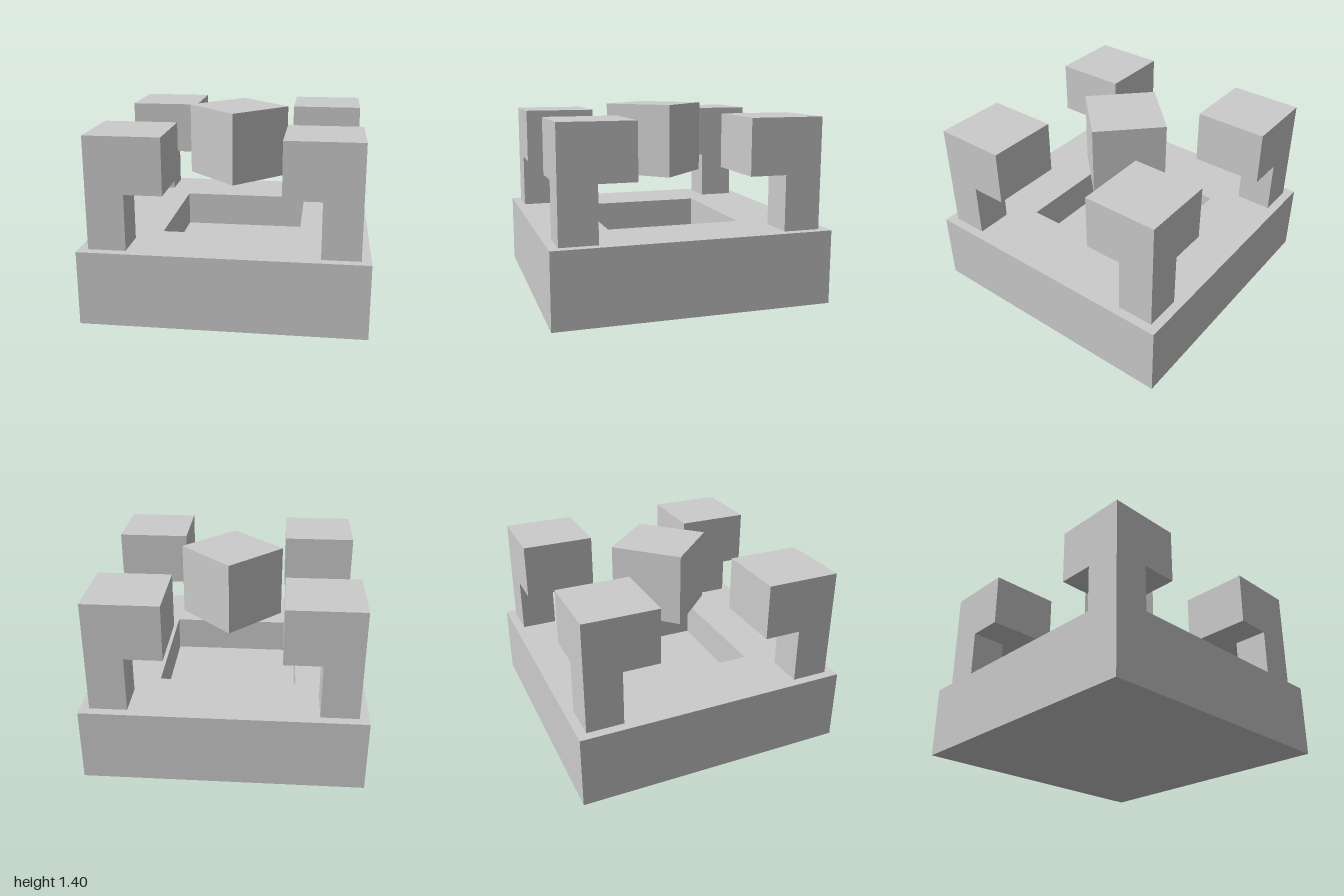
import * as THREE from 'three';

const U = 1 / 15; // design unit: every size is a whole number of these
const material = new THREE.MeshStandardMaterial({ color: 0xcccccc, flatShading: true });

function addBox(parent, name, [w, h, d], [x, y, z]) {
  const mesh = new THREE.Mesh(new THREE.BoxGeometry(w * U, h * U, d * U), material);
  mesh.name = name;
  mesh.position.set(x * U, y * U, z * U);
  parent.add(mesh);
  return mesh;
}

export function createModel() {
  const model = new THREE.Group();
  model.name = 'pedestal';

  // Square base with a sunken square pit: a four-sided lathe of half-widths and heights
  const profile = [[0, 0], [15, 0], [15, 8], [7.5, 8], [7.5, 4], [0, 4]]
    .map(([r, y]) => new THREE.Vector2(r * U * Math.SQRT2, y * U));
  const baseGeometry = new THREE.LatheGeometry(profile, 4, Math.PI / 4).toNonIndexed();
  baseGeometry.computeVertexNormals();
  const base = new THREE.Mesh(baseGeometry, material);
  base.name = 'base';
  model.add(base);

  // Corner pillars: slim stem at the outer corner, larger block overhanging inwards
  for (const sx of [-1, 1]) {
    for (const sz of [-1, 1]) {
      const pillar = new THREE.Group();
      pillar.name = 'cornerPillar';
      addBox(pillar, 'pillarStem', [4, 6, 4], [sx * 12, 11, sz * 12]);
      addBox(pillar, 'pillarHead', [8, 6, 8], [sx * 10, 17, sz * 10]);
      model.add(pillar);
    }
  }

  // Floating cube turned a quarter-diagonal above the pit
  addBox(model, 'floatingCube', [8, 8, 8], [0, 17, 0]).rotation.y = Math.PI / 4;

  return model;
}
